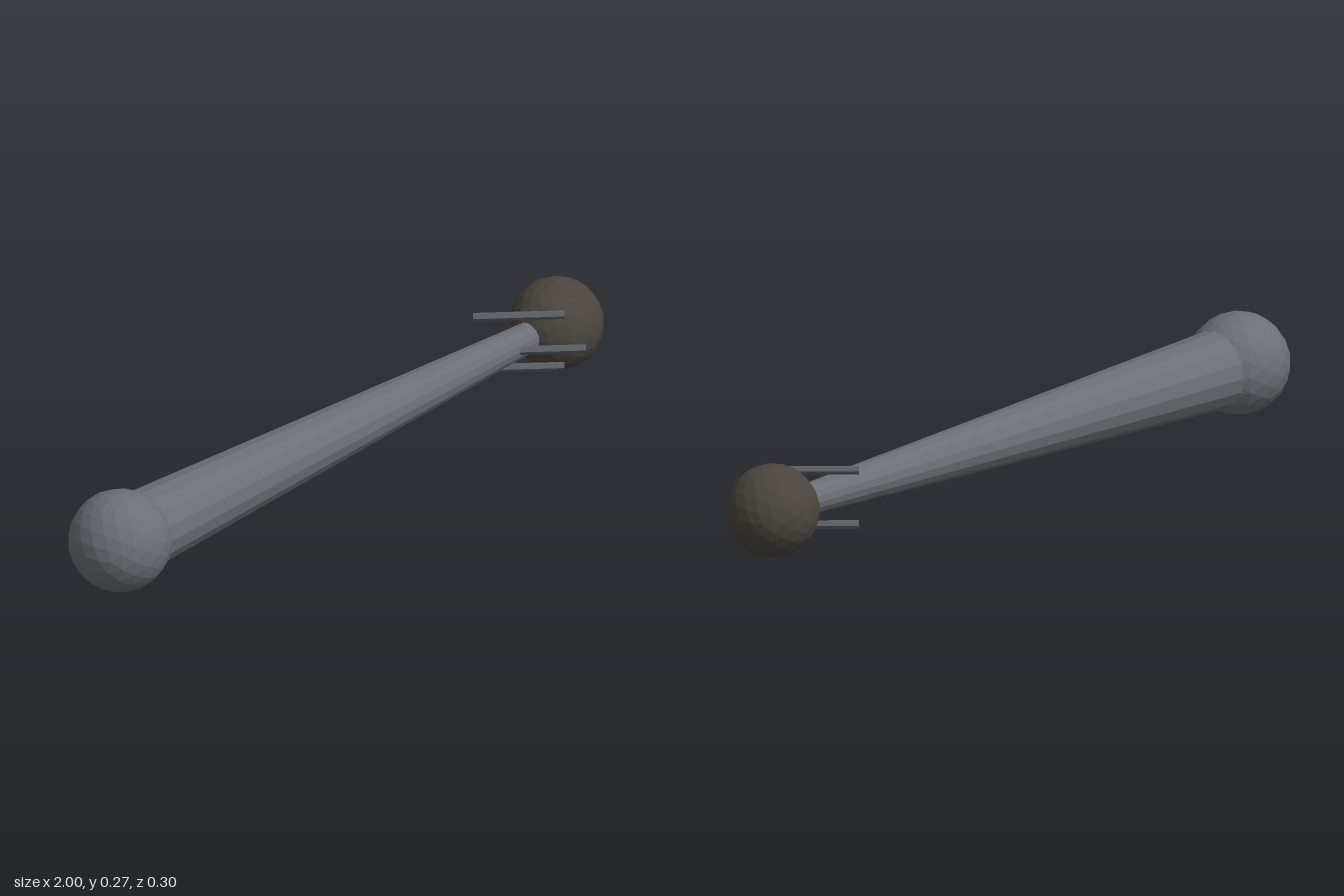
import * as THREE from 'three';

const AXIS_Y = 0.137, AXIS_Z = -0.017;

const flat = (name, color) => {
  const m = new THREE.MeshStandardMaterial({ color, flatShading: true });
  m.name = name;
  return m;
};

export function createModel() {
  const group = new THREE.Group();
  const steel = flat('steel grey', 0x6b6e75);
  const dark = flat('dark brown', 0x4a453e);
  const rodGrey = flat('rod grey', 0x5c6066);

  const add = (name, geometry, material, x, y = 0, z = 0) => {
    const mesh = new THREE.Mesh(geometry, material);
    mesh.name = name;
    mesh.position.set(x, AXIS_Y + y, AXIS_Z + z);
    group.add(mesh);
    return mesh;
  };

  // Faceted balls at both ends
  add('baseBall', new THREE.IcosahedronGeometry(0.137, 3), steel, -0.864);
  add('tipBall', new THREE.IcosahedronGeometry(0.124, 3), dark, 0.876);

  // Tapered shaft, wide at the base ball
  const shaft = new THREE.CylinderGeometry(0.036, 0.109, 1.74, 16);
  shaft.rotateZ(-Math.PI / 2);
  add('shaft', shaft, steel, 0.006);

  // Three slanted rods around the neck: above, in front, below
  const rod = new THREE.CylinderGeometry(0.0115, 0.0115, 0.24, 6);
  rod.rotateZ(-Math.PI / 2);
  rod.rotateY(-Math.PI / 4);
  for (let i = 0; i < 3; i++) {
    const a = Math.PI / 2 * (1 - i);
    add('neckRod' + (i + 1), rod, rodGrey, 0.724, 0.075 * Math.sin(a), 0.075 * Math.cos(a));
  }
  return group;
}
